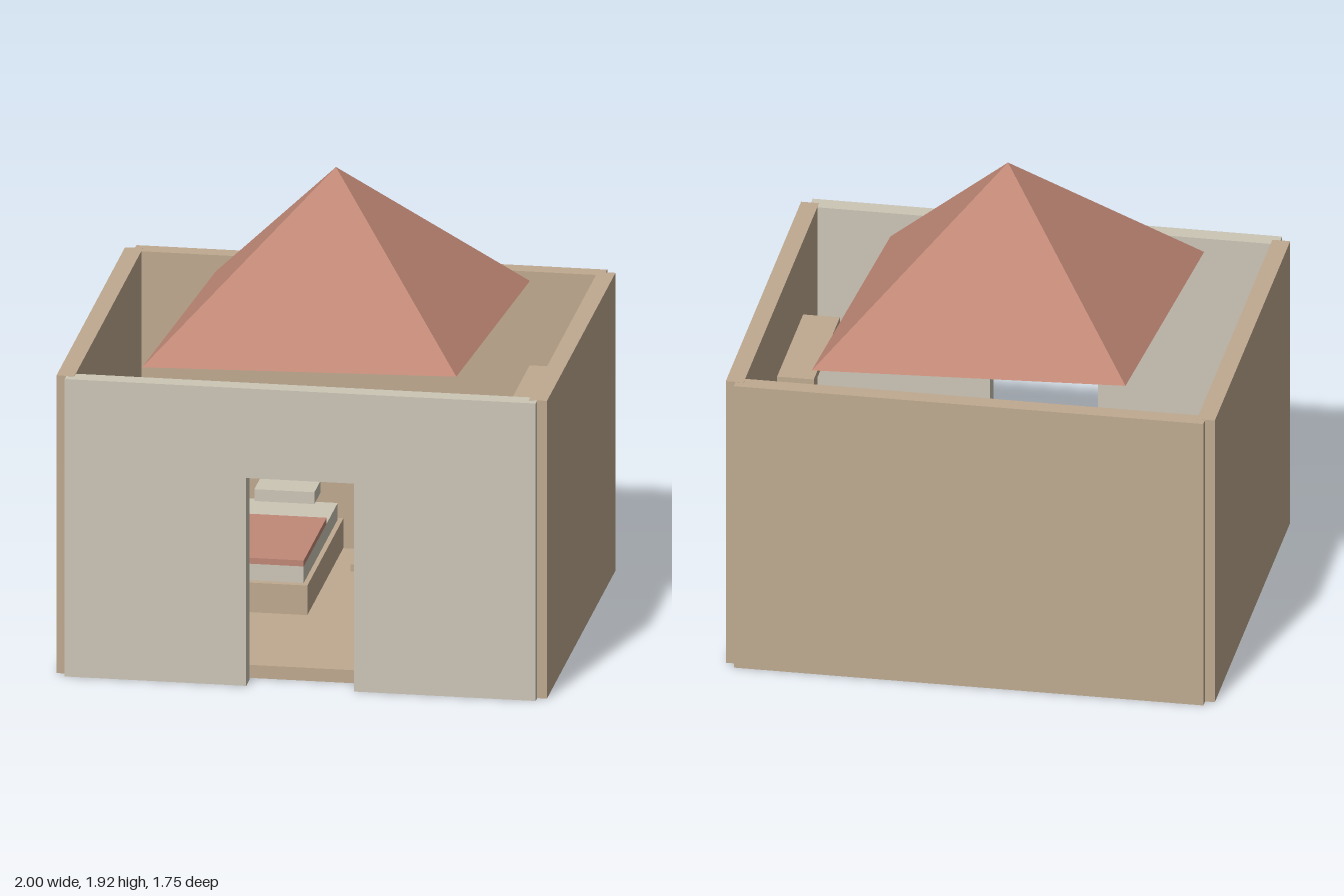
import * as THREE from 'three';

const mat = (name, color) => {
  const m = new THREE.MeshStandardMaterial({ color });
  m.name = name;
  return m;
};

export function createModel() {
  const house = new THREE.Group();
  house.name = 'house';
  const wood = mat('tan wood', 0xbfaa90);
  const stone = mat('pale stone', 0xccc6b6);
  const clay = mat('terracotta', 0xc08876);

  // Box given by its limits on each axis
  const box = (name, material, [x0, x1], [y0, y1], [z0, z1], parent = house) => {
    const mesh = new THREE.Mesh(new THREE.BoxGeometry(x1 - x0, y1 - y0, z1 - z0), material);
    mesh.position.set((x0 + x1) / 2, (y0 + y1) / 2, (z0 + z1) / 2);
    mesh.name = name;
    parent.add(mesh);
    return mesh;
  };
  const group = (name) => {
    const g = new THREE.Group();
    g.name = name;
    house.add(g);
    return g;
  };

  // Floor slab and plain walls
  box('floor', wood, [-0.9, 0.9], [0, 0.055], [-0.775, 0.77]);
  box('leftWall', wood, [0.927, 1], [0, 1.26], [-0.837, 0.837]);
  box('rightWall', wood, [-1, -0.927], [0, 1.26], [-0.837, 0.837]);
  box('backWall', wood, [-0.96, 0.96], [0, 1.259], [-0.875, -0.8]);

  // Front wall with its doorway
  const outline = new THREE.Shape();
  [[-0.96, 0], [-0.22, 0], [-0.22, 0.88], [0.22, 0.88], [0.22, 0], [0.96, 0], [0.96, 1.259], [-0.96, 1.259]]
    .forEach(([x, y], i) => (i ? outline.lineTo(x, y) : outline.moveTo(x, y)));
  const frontWall = new THREE.Mesh(
    new THREE.ExtrudeGeometry(outline, { depth: 0.075, bevelEnabled: false }), stone);
  frontWall.position.z = 0.8;
  frontWall.name = 'frontWall';
  house.add(frontWall);

  // Pyramid roof, slightly stretched along one diagonal
  const roofShape = new THREE.ConeGeometry(1, 0.665, 4).toNonIndexed();
  roofShape.scale(0.958, 1, 0.833);
  roofShape.rotateY(Math.PI / 4);
  roofShape.computeVertexNormals();
  const roof = new THREE.Mesh(roofShape, clay);
  roof.position.y = 1.26 + 0.665 / 2;
  roof.name = 'roof';
  house.add(roof);

  // Bed
  const bed = group('bed');
  box('bedFrame', wood, [-0.54, -0.085], [0.085, 0.21], [-0.69, 0.19], bed);
  box('mattress', stone, [-0.525, -0.105], [0.21, 0.28], [-0.67, 0.16], bed);
  box('blanket', clay, [-0.525, -0.105], [0.28, 0.305], [-0.4, 0.16], bed);
  box('pillow', stone, [-0.44, -0.195], [0.28, 0.33], [-0.785, -0.64], bed);

  // Table
  const table = group('table');
  box('tableTop', wood, [0.1, 0.6], [0.3, 0.33], [-0.25, 0.25], table);
  box('tableLeg', wood, [0.31, 0.39], [0.055, 0.3], [-0.04, 0.04], table);

  // Wall shelves
  for (const y of [0.67, 1.0]) {
    box('shelf', wood, [0.74, 0.89], [y, y + 0.03], [-0.295, 0.285]);
  }

  // Corner chest
  const chest = group('chest');
  box('chestBody', wood, [-0.905, -0.61], [0.055, 0.3], [0.48, 0.77], chest);
  box('chestLid', wood, [-0.87, -0.64], [0.3, 0.36], [0.51, 0.735], chest);

  return house;
}
